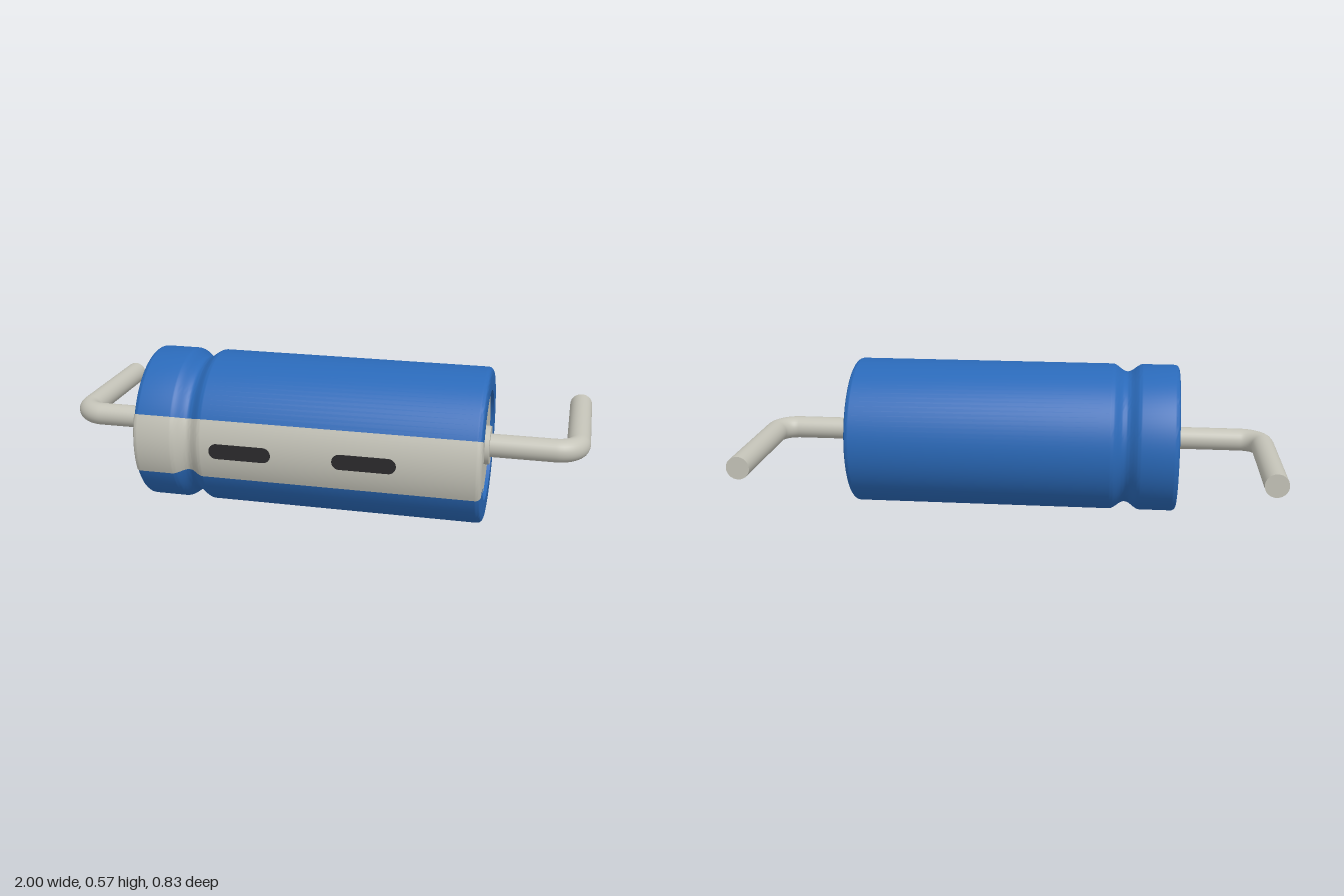
import * as THREE from 'three';
import { toCreasedNormals } from 'three/addons/utils/BufferGeometryUtils.js';

const AXIS_Y = 0.288, AXIS_Z = 0.127; // the can lies along x on this line
const R = 0.286, HALF = 0.635, RIM = 0.202, ROUND = 0.02;
const STRIPE_ANGLE = 0.395, PROUD = 0.002;

const blue = new THREE.MeshStandardMaterial({ color: 0x2a69b8 });
const grey = new THREE.MeshStandardMaterial({ color: 0xc4c3b8 });
const black = new THREE.MeshStandardMaterial({ color: 0x2b2a2c });

function add(parent, name, geometry, material) {
  const mesh = new THREE.Mesh(geometry, material);
  mesh.name = name;
  parent.add(mesh);
  return mesh;
}

// Sleeve cross-section as (radius, x), grown outwards by "grow"
function sleeveProfile(grow) {
  const r = R + grow, h = HALF + grow, pts = [];
  pts.push(new THREE.Vector2(RIM, -0.6), new THREE.Vector2(RIM, -h));
  for (let i = 0; i <= 6; i++) {
    const a = (i / 6) * Math.PI / 2;
    pts.push(new THREE.Vector2(r - ROUND + ROUND * Math.sin(a), -h + ROUND - ROUND * Math.cos(a)));
  }
  // rolled groove near one end
  for (let i = 0; i <= 20; i++) {
    const t = i / 10 - 1;
    pts.push(new THREE.Vector2(r - 0.015 * (1 + Math.cos(Math.PI * t)), -0.435 + 0.06 * t));
  }
  for (let i = 0; i <= 6; i++) {
    const a = (i / 6) * Math.PI / 2;
    pts.push(new THREE.Vector2(r - ROUND + ROUND * Math.cos(a), h - ROUND + ROUND * Math.sin(a)));
  }
  pts.push(new THREE.Vector2(RIM, h), new THREE.Vector2(RIM, 0.6));
  return pts;
}

// Revolve about x; angle 0 points to the front
function revolve(grow, segments, start, length) {
  const geo = new THREE.LatheGeometry(sleeveProfile(grow), segments, start, length);
  geo.rotateZ(-Math.PI / 2);
  return toCreasedNormals(geo, 0.7);
}

function discAlongX(radius, x0, x1) {
  const geo = new THREE.CylinderGeometry(radius, radius, x1 - x0, 64);
  geo.rotateZ(-Math.PI / 2);
  geo.translate((x0 + x1) / 2, 0, 0);
  return geo;
}

// Wire leaving the end along x, then bent towards the back
function makeLead(side) {
  const group = new THREE.Group();
  const wire = 0.043, xEnd = 0.957, bend = 0.08, zEnd = -0.415 - AXIS_Z;
  const P = (x, z) => new THREE.Vector3(side * x, 0, z);
  const path = new THREE.CurvePath();
  path.add(new THREE.LineCurve3(P(0.6, 0), P(xEnd - bend, 0)));
  const k = bend * 0.4477; // handle offset for a circular quarter bend
  path.add(new THREE.CubicBezierCurve3(P(xEnd - bend, 0), P(xEnd - k, 0), P(xEnd, -k), P(xEnd, -bend)));
  path.add(new THREE.LineCurve3(P(xEnd, -bend), P(xEnd, zEnd)));
  add(group, 'wire', new THREE.TubeGeometry(path, 90, wire, 28, false), grey);
  const tip = add(group, 'wireTip', new THREE.CircleGeometry(wire, 28), grey);
  tip.position.copy(P(xEnd, zEnd));
  tip.rotation.y = Math.PI;
  return group;
}

// Rounded dash printed on the stripe
function dashGeometry(length, height) {
  const r = height / 2, l = length / 2 - r;
  const shape = new THREE.Shape();
  shape.absarc(l, 0, r, -Math.PI / 2, Math.PI / 2, false);
  shape.absarc(-l, 0, r, Math.PI / 2, Math.PI * 1.5, false);
  return new THREE.ExtrudeGeometry(shape, { depth: 0.01, bevelEnabled: false, curveSegments: 12 });
}

export function createModel() {
  const model = new THREE.Group();
  model.name = 'axialCapacitor';
  const can = new THREE.Group();
  can.name = 'can';
  can.position.set(0, AXIS_Y, AXIS_Z);
  model.add(can);

  add(can, 'sleeve', revolve(0, 96, 0, Math.PI * 2), blue);

  // polarity stripe, a thin skin over the sleeve
  const stripe = revolve(PROUD, 20, -STRIPE_ANGLE, STRIPE_ANGLE * 2);
  const stripeMesh = add(can, 'polarityStripe', stripe, grey.clone());
  stripeMesh.material.side = THREE.DoubleSide;

  // minus marks
  for (const x of [-0.227, 0.227]) {
    const dash = add(can, 'minusMark', dashGeometry(0.23, 0.056), black);
    dash.position.set(x, 0, 0.2802);
  }

  // recessed end discs with a raised boss around each wire
  add(can, 'endDiscs', discAlongX(0.208, -0.612, 0.622), grey);
  add(can, 'bosses', discAlongX(0.071, -0.634, 0.643), grey);

  for (const side of [-1, 1]) {
    const lead = makeLead(side);
    lead.name = side > 0 ? 'leftLead' : 'rightLead';
    can.add(lead);
  }
  return model;
}
